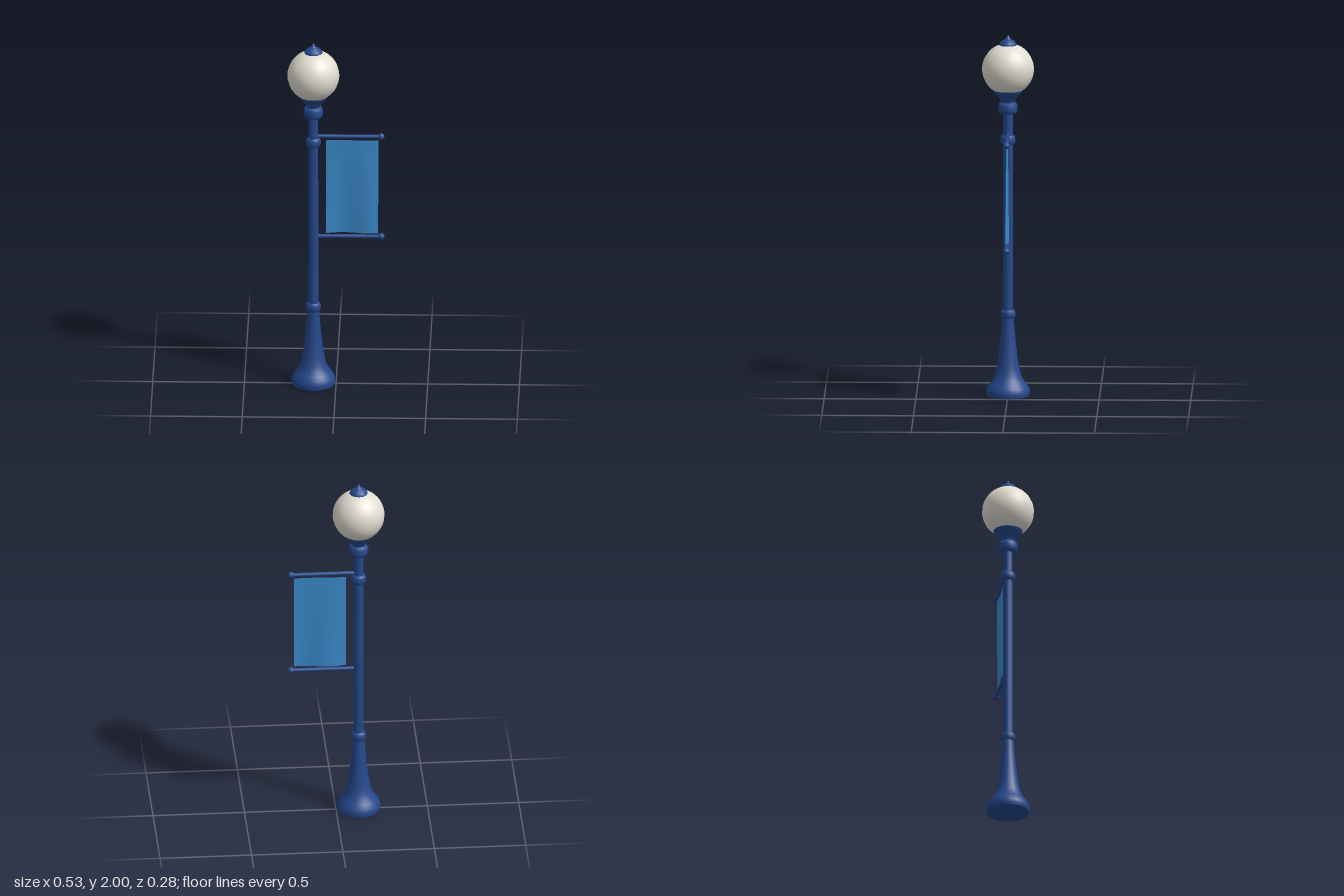
import * as THREE from 'three';

const POST_X = -0.124;

export function createModel() {
  const model = new THREE.Group();
  model.name = 'streetLamp';

  const blue = new THREE.MeshStandardMaterial({ color: 0x24488c });
  blue.name = 'navy metal';
  const glass = new THREE.MeshStandardMaterial({ color: 0xe0ddd1 });
  glass.name = 'frosted glass';
  const cloth = new THREE.MeshStandardMaterial({ color: 0x3b8bcd, side: THREE.DoubleSide });
  cloth.name = 'banner cloth';

  const add = (name, geometry, material, x, y, z = 0) => {
    const mesh = new THREE.Mesh(geometry, material);
    mesh.name = name;
    mesh.position.set(x, y, z);
    model.add(mesh);
    return mesh;
  };
  // Turned part from [radius, height] pairs, listed bottom to top
  const turned = (name, points, sides = 20) =>
    add(name, new THREE.LatheGeometry(points.map(([r, y]) => new THREE.Vector2(r, y)), sides), blue, POST_X, 0);

  // Flared foot with a flat underside
  turned('baseUnderside', [[0, 0], [0.115, 0]], 24);
  turned('base', [
    [0.115, 0], [0.119, 0.015], [0.119, 0.03], [0.112, 0.05], [0.098, 0.07], [0.083, 0.09],
    [0.07, 0.12], [0.06, 0.16], [0.051, 0.22], [0.043, 0.29], [0.036, 0.37], [0.031, 0.44],
  ], 24);

  // Pole and its rounded collars
  add('pole', new THREE.CylinderGeometry(0.026, 0.028, 1.17, 16), blue, POST_X, 1.015);
  const collar = (name, y, r, h) => turned(name, [
    [0.026, y - h], [r * 0.86, y - h * 0.9], [r, y - h * 0.4],
    [r, y + h * 0.4], [r * 0.86, y + h * 0.9], [0.026, y + h],
  ]);
  collar('lowerCollar', 0.452, 0.041, 0.025);
  collar('bannerCollar', 1.418, 0.041, 0.026);
  collar('neckCollar', 1.595, 0.053, 0.033);

  // Cup that holds the globe
  turned('globeCup', [
    [0.034, 1.615], [0.037, 1.632], [0.048, 1.65], [0.064, 1.668], [0.077, 1.683], [0.08, 1.693],
  ]);
  turned('cupRim', [[0.08, 1.693], [0.06, 1.694]]);

  add('globe', new THREE.SphereGeometry(0.142, 24, 18), glass, POST_X, 1.81);

  // Cap and pointed finial
  turned('cap', [
    [0, 1.938], [0.046, 1.938], [0.05, 1.944], [0.046, 1.954], [0.035, 1.966], [0.02, 1.974],
    [0.014, 1.978], [0.009, 1.987], [0, 2],
  ], 14);

  // Banner arms with ball ends
  for (const [name, y] of [['upperArm', 1.453], ['lowerArm', 0.866]]) {
    const arm = add(name, new THREE.CylinderGeometry(0.011, 0.011, 0.36, 10), blue, 0.065, y);
    arm.rotation.z = Math.PI / 2;
    add(name + 'Ball', new THREE.SphereGeometry(0.019, 12, 8), blue, 0.246, y);
  }

  // Gently rippling banner
  const banner = new THREE.PlaneGeometry(0.286, 0.545, 12, 12);
  const p = banner.attributes.position;
  for (let i = 0; i < p.count; i++) {
    const u = p.getX(i) / 0.286 + 0.5;
    const v = 0.5 - p.getY(i) / 0.545;
    p.setZ(i, -0.01 * Math.sin(u * Math.PI * 2 - v * 0.6) * (0.3 + 0.7 * v));
  }
  banner.computeVertexNormals();
  add('banner', banner, cloth, 0.087, 1.158);

  return model;
}
